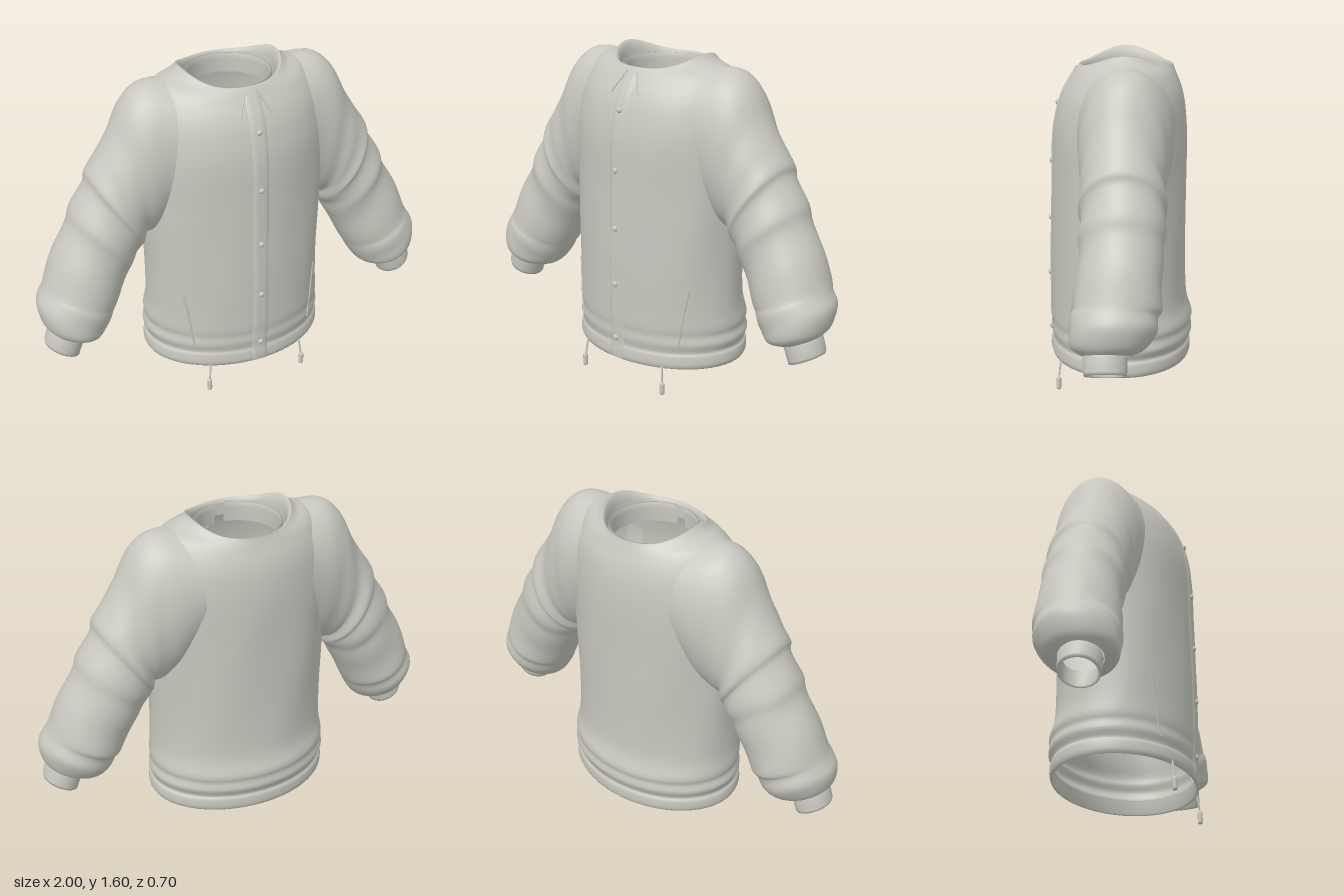
import * as THREE from 'three';

const fabric = new THREE.MeshStandardMaterial({ color: 0xc8c8c0, side: THREE.DoubleSide });
fabric.name = 'light grey fabric';

const N = 64; // points around each cross-section

// Smoothly resample a table of cross-section parameters
function resample(rows, steps) {
  const out = [];
  for (let i = 0; i < rows.length - 1; i++) {
    const [a, b, c, d] = [rows[Math.max(i - 1, 0)], rows[i], rows[i + 1], rows[Math.min(i + 2, rows.length - 1)]];
    for (let s = 0; s < steps; s++) {
      const t = s / steps;
      out.push(b.map((_, k) => b[k] + 0.5 * t * (c[k] - a[k]
        + t * (2 * a[k] - 5 * b[k] + 4 * c[k] - d[k] + t * (3 * (b[k] - c[k]) + d[k] - a[k])))));
    }
  }
  out.push(rows[rows.length - 1]);
  return out;
}

// Closed-ring loft; point(row, angle, rowIndex) returns [x, y, z]
function loft(rows, point, flip = false) {
  const pos = [], idx = [];
  rows.forEach((row, r) => {
    for (let i = 0; i < N; i++) pos.push(...point(row, (i / N) * Math.PI * 2, r));
    if (r === rows.length - 1) return;
    for (let i = 0; i < N; i++) {
      const p = r * N + i, q = r * N + (i + 1) % N;
      if (flip) idx.push(p, q, p + N, q, q + N, p + N);
      else idx.push(p, p + N, q, q, p + N, q + N);
    }
  });
  const g = new THREE.BufferGeometry();
  g.setAttribute('position', new THREE.Float32BufferAttribute(pos, 3));
  g.setIndex(idx);
  g.computeVertexNormals();
  return g;
}

function add(parent, name, geometry) {
  const m = new THREE.Mesh(geometry, fabric);
  m.name = name;
  parent.add(m);
  return m;
}

// Torso: [height, half width, front z, back z, lift at the sides]
const torsoRows = resample([
  [0.13, 0.447, 0.333, -0.328, 0],
  [0.15, 0.455, 0.34, -0.335, 0],
  [0.19, 0.452, 0.337, -0.335, 0],
  [0.21, 0.442, 0.331, -0.327, 0],
  [0.25, 0.455, 0.338, -0.343, 0],
  [0.29, 0.445, 0.336, -0.337, 0],
  [0.33, 0.45, 0.34, -0.342, 0],
  [0.42, 0.44, 0.34, -0.316, 0],
  [0.6, 0.438, 0.34, -0.31, 0],
  [0.8, 0.445, 0.335, -0.31, 0],
  [1.0, 0.45, 0.33, -0.31, 0],
  [1.2, 0.455, 0.325, -0.31, 0],
  [1.33, 0.445, 0.303, -0.302, 0],
  [1.42, 0.42, 0.272, -0.285, 0.01],
  [1.49, 0.36, 0.23, -0.258, 0.04],
  [1.525, 0.28, 0.208, -0.245, 0.035],
  [1.535, 0.243, 0.2, -0.243, 0.06],
], 4);

function torsoPoint([y, a, zf, zb, lift], t) {
  const c = Math.cos(t), s = Math.sin(t);
  const loose = Math.max(0, Math.sin((y - 0.25) * 2.7));
  const fold = 1 + 0.009 * loose * Math.sin(7 * t + 4 * y) * (1 - Math.max(0, s) ** 8);
  const mid = (zf + zb) / 2, half = (zf - zb) / 2;
  return [a * c * fold, y + lift * c ** 4, mid + half * s * fold];
}

// Point on the front of the torso, pushed out by a small offset
function onFront(x, y, out = 0.004) {
  let k = torsoRows.findIndex((r) => r[0] >= y);
  k = k < 1 ? 1 : k;
  const lo = torsoRows[k - 1], hi = torsoRows[k], t = (y - lo[0]) / (hi[0] - lo[0]);
  const row = lo.map((v, i) => v + (hi[i] - v) * t);
  const p = torsoPoint(row, Math.acos(x / row[1]));
  return new THREE.Vector3(x, y, p[2] + out);
}

// Sleeve: [outer x, outer y, inner x, inner y, centre z, half depth]
const sleeveRows = resample([
  [0.30, 1.545, 0.24, 1.0, -0.02, 0.23],
  [0.43, 1.545, 0.34, 0.87, -0.02, 0.215],
  [0.52, 1.475, 0.40, 0.82, -0.015, 0.20],
  [0.59, 1.34, 0.44, 0.81, -0.01, 0.188],
  [0.655, 1.235, 0.455, 0.81, -0.01, 0.186],
  [0.71, 1.155, 0.46, 0.78, -0.01, 0.196],
  [0.722, 1.10, 0.47, 0.76, -0.01, 0.184],
  [0.795, 0.99, 0.50, 0.73, -0.01, 0.192],
  [0.822, 0.91, 0.525, 0.68, -0.005, 0.184],
  [0.90, 0.78, 0.57, 0.60, 0, 0.186],
  [0.95, 0.65, 0.62, 0.50, 0.012, 0.194],
  [0.968, 0.61, 0.64, 0.465, 0.02, 0.19],
  [1.0, 0.55, 0.67, 0.41, 0.03, 0.188],
  [0.99, 0.465, 0.715, 0.36, 0.045, 0.16],
  [0.965, 0.425, 0.795, 0.352, 0.06, 0.1],
], 4);

// Ribbed cuff, turned in at its open end
const cuffRows = [
  [0.962, 0.43, 0.80, 0.36, 0.06, 0.092],
  [0.97, 0.42, 0.802, 0.347, 0.06, 0.096],
  [0.988, 0.36, 0.826, 0.285, 0.06, 0.094],
  [0.986, 0.345, 0.83, 0.272, 0.06, 0.091],
  [0.977, 0.345, 0.838, 0.28, 0.06, 0.08],
  [0.955, 0.41, 0.815, 0.35, 0.06, 0.078],
];

function sleevePoint(side, wrinkle) {
  return ([ox, oy, ix, iy, zc, zr], t, r) => {
    const f = 1 + wrinkle * Math.sin(r * 0.85 + 2 * Math.sin(t + 0.6)) * Math.min(1, r / 14) * Math.sin(t) ** 2;
    const c = Math.cos(t) * f, s = Math.sin(t) * f;
    return [side * ((ox + ix) / 2 + c * (ox - ix) / 2), (oy + iy) / 2 + c * (oy - iy) / 2, zc + zr * s];
  };
}

function tube(points, radius) {
  return new THREE.TubeGeometry(new THREE.CatmullRomCurve3(points), 16, radius, 6);
}

function seam(x0, y0, x1, y1, radius) {
  const pts = [];
  for (let i = 0; i <= 5; i++) pts.push(onFront(x0 + (x1 - x0) * i / 5, y0 + (y1 - y0) * i / 5, 0.001));
  return tube(pts, radius);
}

export function createModel() {
  const jacket = new THREE.Group();
  jacket.name = 'jacket';

  // Torso with a turned-in hem and neckline
  const rows = [
    [0.2, 0.43, 0.32, -0.315, 0], [0.135, 0.435, 0.322, -0.318, 0],
    ...torsoRows,
    [1.532, 0.232, 0.19, -0.235, 0.045], [1.515, 0.222, 0.185, -0.23, 0.03], [1.46, 0.22, 0.185, -0.23, 0.02],
  ];
  add(jacket, 'torso', loft(rows, torsoPoint));

  // Inner neckband, open at the front
  const band = [[0.196, 1.43], [0.194, 1.5], [0.197, 1.525], [0.203, 1.525], [0.204, 1.43]];
  const neck = add(jacket, 'neckband', new THREE.LatheGeometry(
    band.map(([r, y]) => new THREE.Vector2(r, y)), 48, 0.13, Math.PI * 2 - 0.26));
  neck.position.z = -0.025;

  // Button placket: a thin strip that follows the chest
  const strip = new THREE.PlaneGeometry(1, 1, 6, 50);
  const p = strip.attributes.position;
  for (let i = 0; i < p.count; i++) {
    const u = p.getX(i) * 2;
    const v = onFront(u * 0.04, 0.135 + (p.getY(i) + 0.5) * 1.37, Math.abs(u) > 0.9 ? 0 : 0.006);
    p.setXYZ(i, v.x, v.y, v.z);
  }
  strip.computeVertexNormals();
  add(jacket, 'placket', strip);

  // Snap buttons
  for (const y of [0.24, 0.515, 0.79, 1.07, 1.35]) {
    const b = add(jacket, 'button', new THREE.SphereGeometry(0.014, 16, 10));
    b.position.copy(onFront(0, y, 0.007));
    b.scale.z = 0.7;
  }

  for (const side of [1, -1]) {
    const label = side > 0 ? 'left' : 'right';
    add(jacket, label + 'Sleeve', loft(sleeveRows, sleevePoint(side, 0.022), side > 0));
    add(jacket, label + 'Cuff', loft(cuffRows, sleevePoint(side, 0), side > 0));
    add(jacket, label + 'PocketWelt', seam(side * 0.345, 0.53, side * 0.305, 0.24, 0.005));
    add(jacket, label + 'CollarEdge', seam(side * 0.03, 1.515, side * 0.08, 1.42, 0.005));

    // Drawcord and its toggle
    const cord = new THREE.Group();
    cord.name = label + 'Drawcord';
    add(cord, 'cord', tube([
      new THREE.Vector3(side * 0.24, 0.165, 0.277), new THREE.Vector3(side * 0.243, 0.13, 0.288),
      new THREE.Vector3(side * 0.25, 0.06, 0.297),
    ], 0.005));
    const toggle = add(cord, 'toggle', new THREE.CapsuleGeometry(0.012, 0.042, 6, 12));
    toggle.position.set(side * 0.252, 0.033, 0.298);
    jacket.add(cord);
  }
  return jacket;
}
